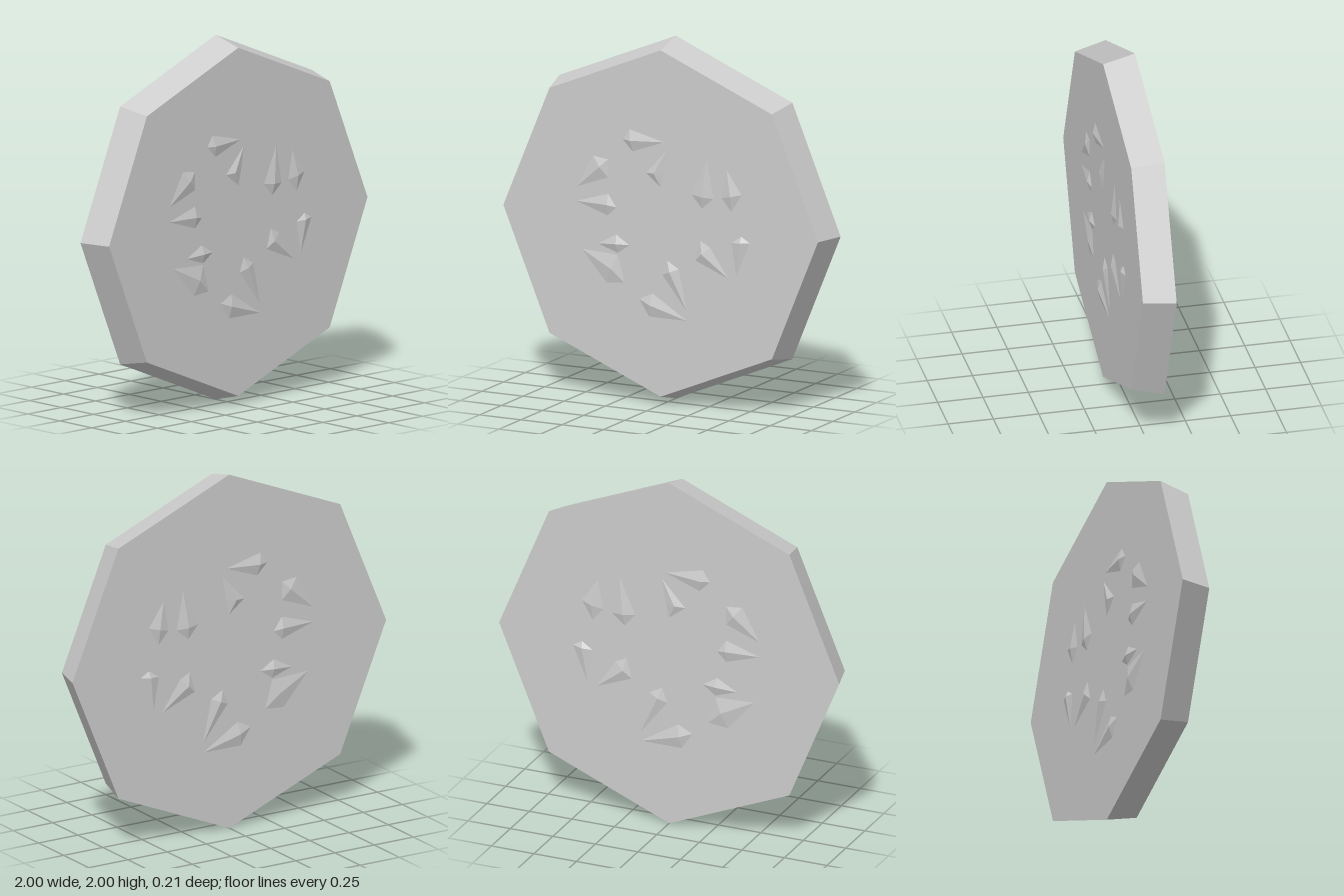
import * as THREE from 'three';

const HALF = 0.088;          // half thickness of the disc
const FRONT = 0.955;         // front face is slightly smaller than the back

// Each chip on the front face, relative to the centre: tip, shoulder, blunt end, shoulder
const CHIPS = [
  [0.02, 0.45, -0.19, 0.50, -0.23, 0.44, -0.17, 0.38],
  [0.04, 0.41, -0.09, 0.27, 0.00, 0.20, 0.02, 0.28],
  [0.28, 0.38, 0.19, 0.18, 0.25, 0.11, 0.32, 0.17],
  [0.40, 0.34, 0.37, 0.18, 0.43, 0.11, 0.49, 0.21],
  [-0.51, 0.15, -0.41, 0.33, -0.32, 0.32, -0.32, 0.22],
  [-0.51, 0.07, -0.32, 0.13, -0.27, 0.06, -0.32, 0.01],
  [-0.38, -0.15, -0.27, -0.09, -0.19, -0.14, -0.26, -0.19],
  [-0.48, -0.19, -0.26, -0.20, -0.22, -0.35, -0.33, -0.36],
  [0.16, -0.47, 0.01, -0.28, 0.04, -0.20, 0.11, -0.24],
  [0.16, -0.52, -0.05, -0.39, -0.13, -0.43, -0.07, -0.52],
  [0.41, -0.26, 0.21, -0.18, 0.24, -0.07, 0.30, -0.10],
  [0.46, -0.24, 0.43, -0.06, 0.49, -0.02, 0.54, -0.05],
];

// Low kite-shaped pyramid standing on the front (side = 1) or back (side = -1) face
function chipGeometry(c, side) {
  const s = side > 0 ? 1 : 1 / FRONT;
  let ring = [0, 2, 4, 6].map((i) => new THREE.Vector2(c[i] * s, c[i + 1] * s));
  const apex = ring[1].clone().add(ring[3]).multiplyScalar(0.5);
  if (THREE.ShapeUtils.area(ring) * side < 0) ring = ring.reverse();
  const pos = [];
  ring.forEach((a, i) => {
    const b = ring[(i + 1) % 4];
    pos.push(a.x, a.y, side * HALF, b.x, b.y, side * HALF, apex.x, apex.y, side * (HALF + 0.016));
  });
  const g = new THREE.BufferGeometry();
  g.setAttribute('position', new THREE.Float32BufferAttribute(pos, 3));
  g.computeVertexNormals();
  return g;
}

export function createModel() {
  const model = new THREE.Group();
  model.name = 'octagonalDisc';
  const material = new THREE.MeshStandardMaterial({ color: 0xcccccc, flatShading: true });

  // Tapered eight-sided disc standing on one corner
  const disc = new THREE.Mesh(new THREE.CylinderGeometry(FRONT, 1, HALF * 2, 8), material);
  disc.name = 'disc';
  disc.rotation.x = Math.PI / 2;
  disc.position.y = 1;
  model.add(disc);

  // The same ring of chips on both faces
  for (const side of [1, -1]) {
    const group = new THREE.Group();
    group.name = side > 0 ? 'frontChips' : 'backChips';
    group.position.y = 1;
    CHIPS.forEach((c, i) => {
      const chip = new THREE.Mesh(chipGeometry(c, side), material);
      chip.name = `chip${i + 1}`;
      group.add(chip);
    });
    model.add(group);
  }
  return model;
}
